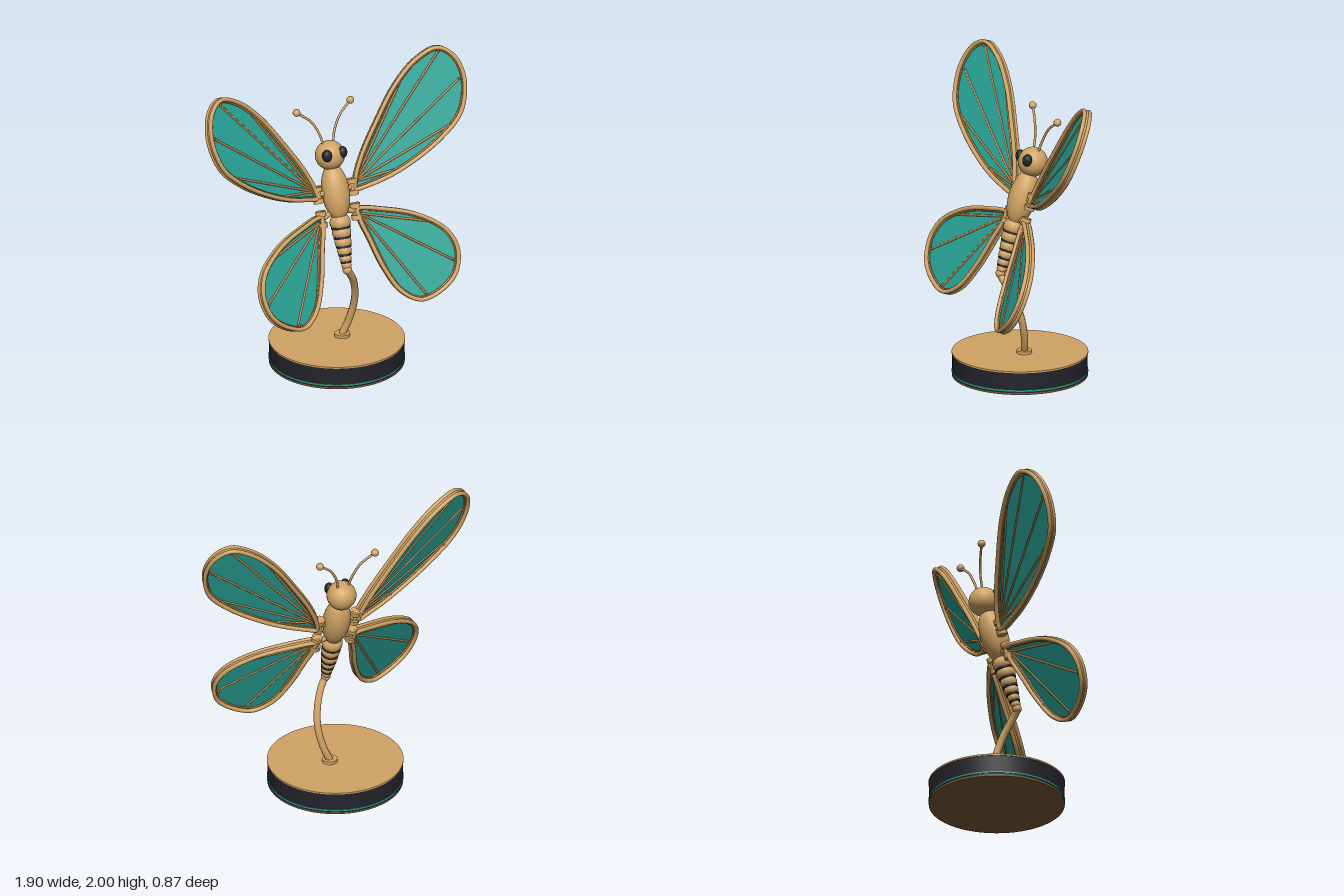
import * as THREE from 'three';

const mat = (name, color, side = THREE.FrontSide) => {
  const m = new THREE.MeshStandardMaterial({ color, side });
  m.name = name;
  return m;
};

export function createModel() {
  const root = new THREE.Group();
  root.name = 'butterflyOnStand';
  const brass = mat('brass', 0xd0a364);
  const bronze = mat('bronze', 0xb48246);
  const darkBronze = mat('darkBronze', 0x785a36);
  const dark = mat('charcoal', 0x23232b);
  const teal = mat('teal', 0x28a396);
  const film = mat('wingTeal', 0x28a396, THREE.DoubleSide);
  const V = (x, y, z) => new THREE.Vector3(x, y, z);

  const add = (parent, name, geo, material, x = 0, y = 0, z = 0) => {
    const m = new THREE.Mesh(geo, material);
    m.name = name;
    m.position.set(x, y, z);
    parent.add(m);
    return m;
  };
  const cyl = (r, h, seg = 28) => new THREE.CylinderGeometry(r, r, h, seg);
  const ball = (r, seg = 24) => new THREE.SphereGeometry(r, seg, Math.round(seg * 0.7));
  const tube = (pts, r, n = 24, closed = false) =>
    new THREE.TubeGeometry(new THREE.CatmullRomCurve3(pts, closed), n, r, 8, closed);

  // Round stand: dark bronze foot, dark drum, thin teal ring, brass top
  const base = new THREE.Group();
  base.name = 'stand';
  root.add(base);
  add(base, 'footPlate', cyl(0.435, 0.012, 72), darkBronze, 0, 0.006, 0);
  add(base, 'drum', cyl(0.433, 0.134, 72), dark, 0, 0.079, 0);
  add(base, 'tealRing', cyl(0.437, 0.01, 72), teal, 0, 0.027, 0);
  add(base, 'topPlate', cyl(0.437, 0.01, 72), brass, 0, 0.151, 0);
  add(base, 'stemCollar', cyl(0.05, 0.02), brass, 0.045, 0.166, -0.01);
  add(base, 'stem', tube([V(0.042, 0.16, -0.012), V(0.085, 0.27, 0.006), V(0.107, 0.4, 0.035),
    V(0.088, 0.53, 0.076), V(0.04, 0.635, 0.12), V(0, 0.69, 0.14)], 0.024, 48), brass);

  // Body leans back: its local y runs along the spine
  const tilt = -0.305;
  const body = new THREE.Group();
  body.name = 'body';
  body.position.set(0, 1.185, -0.017);
  body.rotation.x = tilt;
  root.add(body);
  add(body, 'thorax', ball(0.09, 32), brass).scale.set(1, 2.08, 1);

  // Tapering abdomen beads with thin dark rings between them
  const beads = [[-0.2, 0.068], [-0.265, 0.062], [-0.328, 0.055], [-0.385, 0.047], [-0.437, 0.039], [-0.482, 0.032]];
  beads.forEach(([y, r], i) => {
    add(body, 'abdomenSegment', ball(r), brass, 0, y, 0).scale.y = 0.9;
    if (i < 5) add(body, 'abdomenRing', cyl(r * 0.92, 0.014), dark, 0, (y + beads[i + 1][0]) / 2, 0);
  });
  add(body, 'tailTip', ball(0.031), brass, 0, -0.513, 0);

  // Head, eyes and antennae
  const head = new THREE.Group();
  head.name = 'head';
  root.add(head);
  add(head, 'skull', ball(0.096, 32), brass, 0, 1.415, -0.09);
  for (const s of [1, -1]) {
    const eye = add(head, 'eye', ball(0.034), dark, s * 0.055, 1.447, -0.028);
    eye.scale.set(0.98, 1.2, 0.95);
    eye.rotation.z = -s * 0.15;
    add(head, 'antenna', tube([V(s * 0.035, 1.48, -0.11), V(s * 0.055, 1.56, -0.13),
      V(s * 0.105, 1.65, -0.15), V(s * 0.197, 1.725, -0.175)], 0.008), brass);
    add(head, 'antennaTip', ball(0.025), brass, s * 0.197, 1.725, -0.175);
  }

  // Wing outlines seen from the front; z = z0 + b (x - 0.12) + c (y - y0)
  const wings = [
    {
      name: 'upperWing', y0: 1.16, z0: -0.02, b: 0.318, c: -0.382, hinge: [0.128, 1.19, -0.022], start: [0.15, 1.215],
      edge: [[0.135, 1.225], [0.2, 1.37], [0.335, 1.58], [0.49, 1.79], [0.65, 1.935], [0.8, 1.995], [0.9, 1.935],
        [0.945, 1.79], [0.89, 1.58], [0.73, 1.42], [0.465, 1.26], [0.27, 1.185], [0.13, 1.16]],
      veins: [[0.56, 1.83], [0.8, 1.955], [0.9, 1.78], [0.8, 1.51], [0.4, 1.265]],
    },
    {
      name: 'lowerWing', y0: 1.04, z0: 0.02, b: 0.27, c: -0.4, hinge: [0.125, 1.035, 0.025], start: [0.145, 1.02],
      edge: [[0.125, 1.06], [0.307, 1.045], [0.52, 0.985], [0.68, 0.875], [0.73, 0.75], [0.69, 0.6], [0.57, 0.495],
        [0.425, 0.452], [0.305, 0.52], [0.217, 0.68], [0.16, 0.865], [0.125, 0.98]],
      veins: [[0.58, 0.925], [0.68, 0.68], [0.47, 0.495], [0.27, 0.62]],
    },
  ];

  const buildWing = (w, s) => {
    const g = new THREE.Group();
    g.name = (s > 0 ? 'left ' : 'right ') + w.name;
    root.add(g);
    const len = Math.hypot(w.b, w.c, 1);
    // Place a front-view point on the wing plane, lifted by d along its normal
    const place = (x, y, d = 0) => V(s * (x - (d * w.b) / len), y - (d * w.c) / len,
      w.z0 + w.b * (x - 0.12) + w.c * (y - w.y0) + d / len);
    const outline = new THREE.CatmullRomCurve3(w.edge.map(([x, y]) => V(x, y, 0)), true);
    const N = 64;
    // Outline moved inward by a distance (the outline runs clockwise)
    const inset = (k, d) => Array.from({ length: N }, (_, i) => {
      const p = outline.getPointAt(i / N), t = outline.getTangentAt(i / N);
      return place(p.x + t.y * k, p.y - t.x * k, d);
    });

    // Membrane
    const pts = inset(0.016, 0);
    const shape = new THREE.Shape(pts.map(p => new THREE.Vector2(p.x, p.y)));
    const geo = new THREE.ShapeGeometry(shape);
    const pos = geo.attributes.position;
    for (let i = 0; i < pos.count; i++) {
      pos.setZ(i, place(s * pos.getX(i), pos.getY(i)).z);
    }
    geo.computeVertexNormals();
    add(g, 'membrane', geo, film);

    // Frame: front and back rails, a core between them, fine inner beading
    for (const d of [0.018, -0.018]) {
      add(g, 'frameRail', tube(inset(0.015, d), 0.014, 128, true), brass);
      add(g, 'innerBeading', tube(inset(0.03, d * 0.4), 0.006, 128, true), bronze);
    }
    add(g, 'frameCore', tube(inset(0.017, 0), 0.012, 128, true), brass);

    // Veins fan out from the root, with a rivet at each end
    for (const [x, y] of w.veins) {
      add(g, 'vein', tube([place(...w.start), place(x, y)], 0.0075, 2), bronze);
      for (const d of [0.012, -0.012]) {
        const p = place(x, y, d);
        add(g, 'rivet', ball(0.008, 10), bronze, p.x, p.y, p.z);
      }
    }

    // Hinge spool and the arm that joins it to the thorax
    const hinge = new THREE.Group();
    hinge.name = 'hinge';
    hinge.position.set(s * w.hinge[0], w.hinge[1], w.hinge[2]);
    hinge.rotation.x = tilt;
    g.add(hinge);
    add(hinge, 'pin', cyl(0.022, 0.11, 20), brass);
    for (const y of [-0.038, 0.038]) add(hinge, 'collar', cyl(0.034, 0.032, 20), brass, 0, y, 0);
    add(hinge, 'arm', tube([V(0, 0, 0), V(-s * 0.08, w.name === 'upperWing' ? 0 : 0.03, 0)], 0.018, 2), brass);
  };
  for (const w of wings) for (const s of [1, -1]) buildWing(w, s);

  return root;
}
